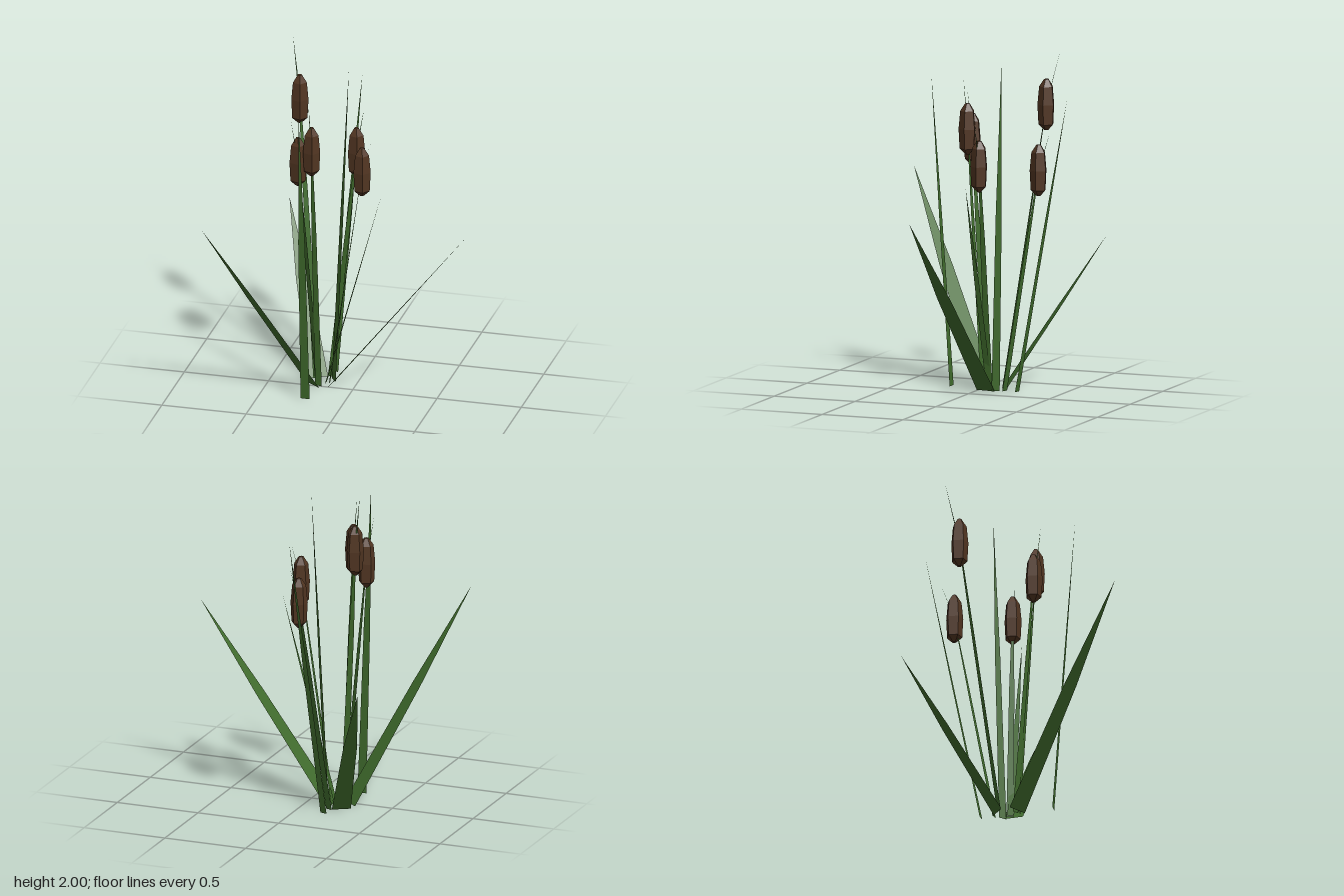
import * as THREE from 'three';

const leafMat = new THREE.MeshStandardMaterial({ color: 0x3f6a2c, flatShading: true, side: THREE.DoubleSide });
const headMat = new THREE.MeshStandardMaterial({ color: 0x523622, flatShading: true });

const V = (p) => new THREE.Vector3(...p);

// Blade width along its length: slow taper to the kink, then to a point
const KINK = 0.55;
const taper = (t) => (t < KINK ? 1 - 0.28 * (t / KINK) : 0.72 * (1 - t) / (1 - KINK));

// Flat ribbon along a path, its width lying across the direction of lean
function blade(name, path, width) {
  const base = path[0], tip = path[path.length - 1];
  const side = new THREE.Vector3(tip.z - base.z, 0, base.x - tip.x).normalize();
  const pos = [], index = [];
  path.forEach((p, i) => {
    const half = side.clone().multiplyScalar(0.5 * width * taper(p.y / tip.y));
    const a = p.clone().sub(half), b = p.clone().add(half);
    pos.push(a.x, a.y, a.z, b.x, b.y, b.z);
    if (i < path.length - 1) {
      const k = i * 2;
      index.push(k, k + 1, k + 2);
      if (i < path.length - 2) index.push(k + 1, k + 3, k + 2);
    }
  });
  const geo = new THREE.BufferGeometry();
  geo.setAttribute('position', new THREE.Float32BufferAttribute(pos, 3));
  geo.setIndex(index);
  geo.computeVertexNormals();
  const mesh = new THREE.Mesh(geo, leafMat);
  mesh.name = name;
  return mesh;
}

// Leaves: base, tip, width
const leaves = [
  ['broadLeaf', [-0.235, 0, -0.125], [-0.545, 0.88, -0.635], 0.11],
  ['broadLeaf', [-0.24, 0, -0.01], [-0.73, 1.18, 0.635], 0.12],
  ['broadLeaf', [-0.14, 0, -0.05], [0.72, 1.09, 0.075], 0.12],
  ['tallLeaf', [-0.23, 0, 0.198], [-0.235, 1.8, 0.325], 0.055],
  ['tallLeaf', [-0.142, 0, -0.11], [-0.07, 1.91, -0.175], 0.05],
  ['tallLeaf', [-0.168, 0, -0.232], [-0.095, 1.72, -0.57], 0.042],
  ['tallLeaf', [-0.175, 0, -0.058], [0.16, 1.22, -0.047], 0.04],
];

// Flower stalks: base, centre of the seed head, tip
const stalks = [
  [[-0.245, 0, -0.115], [-0.4, 1.64, -0.32], [-0.46, 2.0, -0.395]],
  [[-0.215, 0, -0.025], [-0.3, 1.43, 0.095], [-0.33, 1.7, 0.14]],
  [[-0.205, 0, -0.005], [-0.22, 1.5, 0.095], [-0.23, 1.8, 0.125]],
  [[-0.17, 0, -0.155], [-0.085, 1.31, -0.4], [-0.062, 1.54, -0.48]],
  [[-0.155, 0, -0.065], [0.033, 1.33, -0.08], [0.1, 1.57, -0.08]],
];

// Five-sided seed head
const headGeo = new THREE.LatheGeometry(
  [[0, -0.15], [0.012, -0.148], [0.046, -0.115], [0.052, 0.0], [0.042, 0.105], [0.014, 0.148], [0, 0.15]]
    .map(([r, y]) => new THREE.Vector2(r, y)), 5, Math.PI / 2);

export function createModel() {
  const group = new THREE.Group();
  group.name = 'reedPlant';

  for (const [name, base, tip, width] of leaves) {
    const a = V(base), b = V(tip);
    group.add(blade(name, [a, a.clone().lerp(b, KINK), b], width));
  }

  for (const [base, centre, tip] of stalks) {
    const a = V(base), c = V(centre), b = V(tip);
    const stalk = new THREE.Group();
    stalk.name = 'flowerStalk';
    const kink = a.clone().lerp(c, KINK * b.y / c.y);
    stalk.add(blade('stem', [a, kink, c, b], 0.042));
    const head = new THREE.Mesh(headGeo, headMat);
    head.name = 'seedHead';
    head.position.copy(c);
    stalk.add(head);
    group.add(stalk);
  }
  return group;
}
